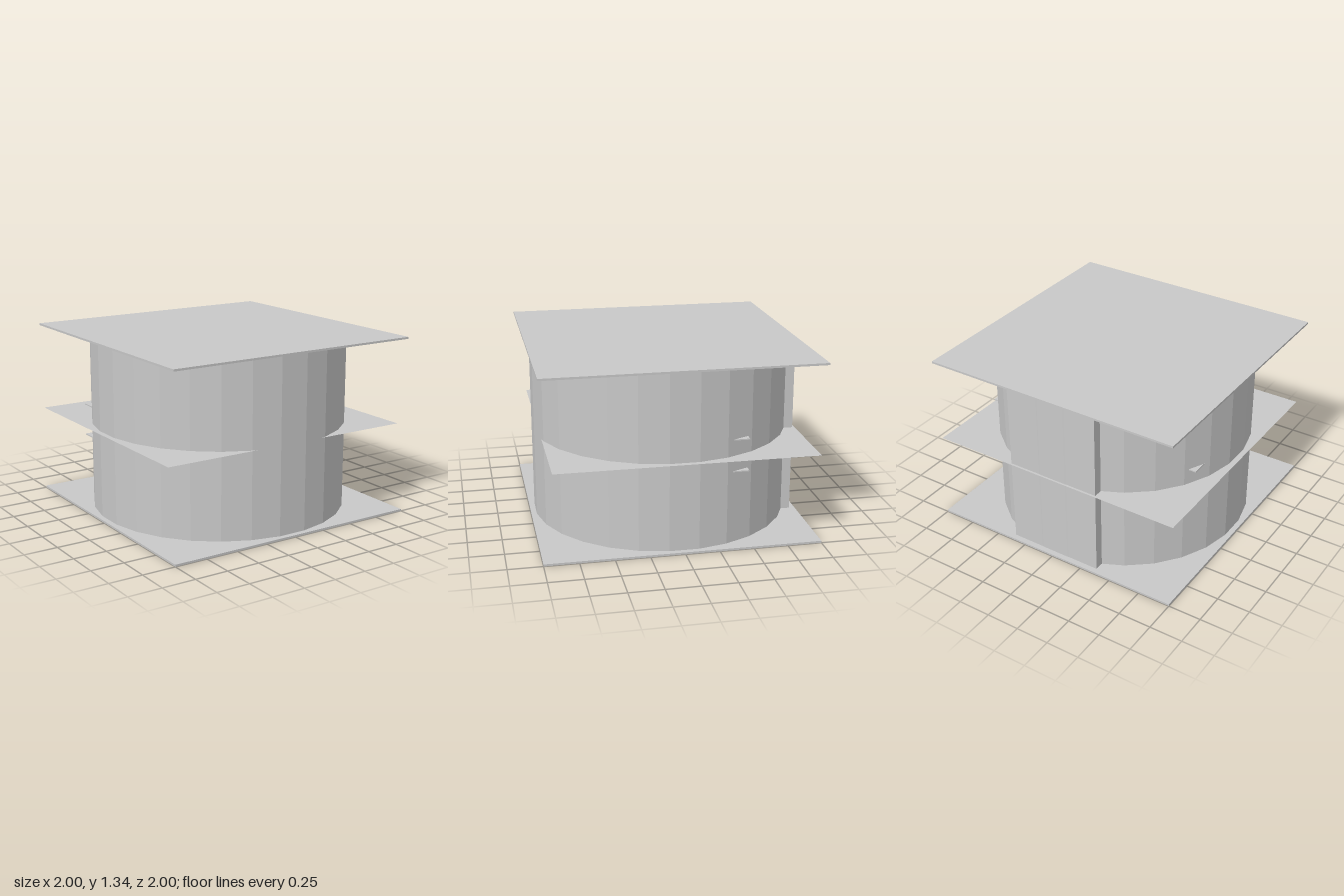
import * as THREE from 'three';

export function createModel() {
  const model = new THREE.Group();
  const grey = new THREE.MeshStandardMaterial({ color: 0xc8c8c8, flatShading: true });
  grey.name = 'plain grey';
  const greySheet = new THREE.MeshStandardMaterial({ color: 0xc8c8c8, side: THREE.DoubleSide });
  greySheet.name = 'plain grey sheet';

  const H = 1.34, PLATE = 0.015;

  function add(name, geometry, x, y, z, material = grey) {
    const mesh = new THREE.Mesh(geometry, material);
    mesh.name = name;
    mesh.position.set(x, y, z);
    model.add(mesh);
    return mesh;
  }

  // Square end plates
  add('bottomPlate', new THREE.BoxGeometry(2, PLATE, 2), 0, PLATE / 2, 0);
  add('topPlate', new THREE.BoxGeometry(2, PLATE, 2), 0, H - PLATE / 2, 0);

  // Faceted drum, with a flat facet toward each side
  const sides = 28;
  const drum = new THREE.CylinderGeometry(0.965, 0.965, H - 2 * PLATE, sides, 1, true);
  drum.rotateY(Math.PI / sides);
  add('drumWall', drum, 0, H / 2, 0);

  // Flat door panel on the back of the drum
  add('backPanel', new THREE.BoxGeometry(0.73, H - 2 * PLATE, 0.1), 0, H / 2, -0.907);

  // Paper-thin middle floor reaching past the drum
  const floor = new THREE.PlaneGeometry(2, 1.896);
  floor.rotateX(-Math.PI / 2);
  add('middleFloor', floor, 0, H / 2, -0.026, greySheet);

  // Two inner shelves whose back corners poke through the wall
  for (const side of [-1, 1]) {
    add('innerShelf', new THREE.BoxGeometry(1.78, 0.008, 0.4), 0, H / 2 + side * 0.118, -0.28);
  }

  return model;
}
